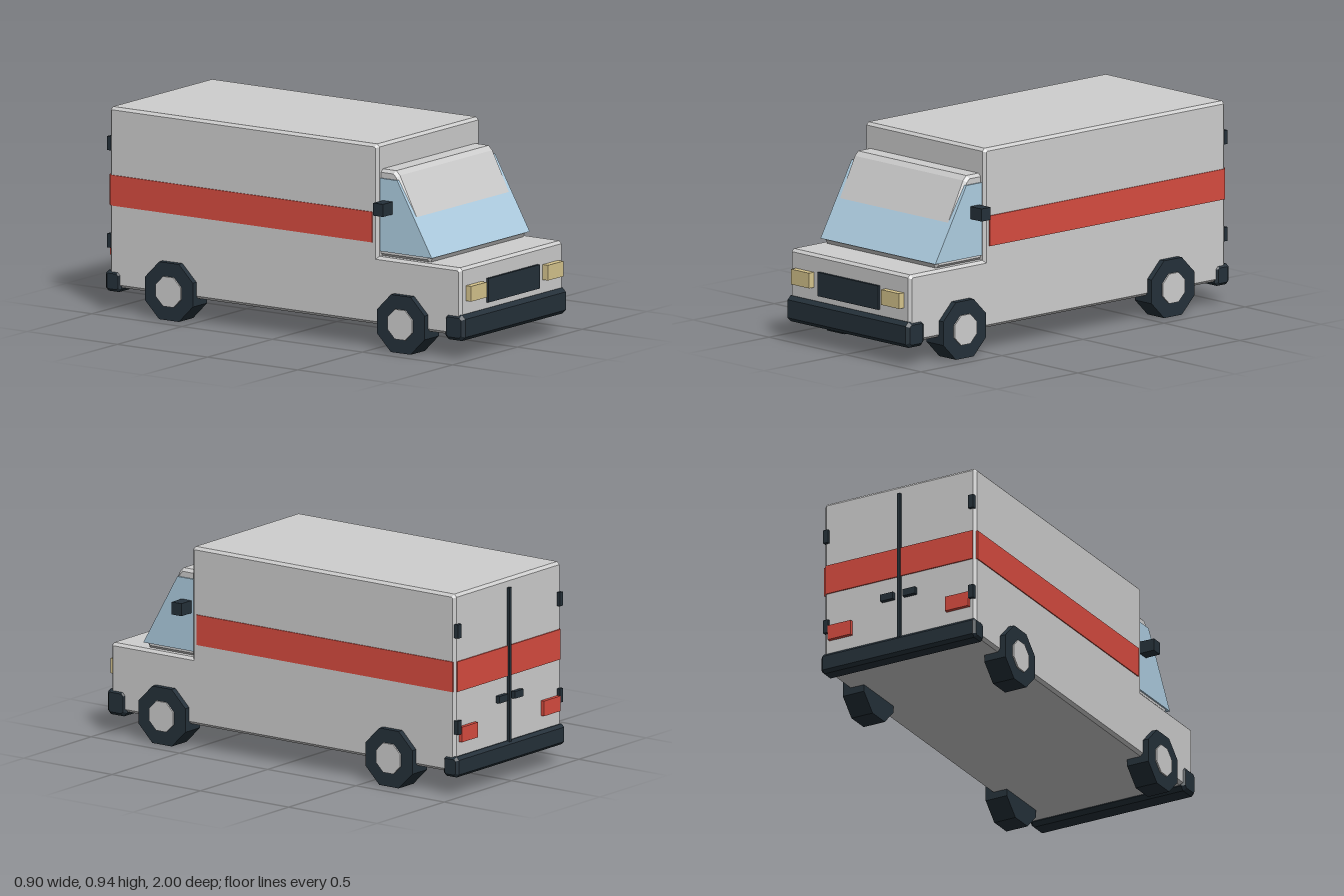
import * as THREE from 'three';

const mat = (name, color) => {
  const m = new THREE.MeshStandardMaterial({ color });
  m.name = name;
  return m;
};

export function createModel() {
  const van = new THREE.Group();
  van.name = 'deliveryVan';
  const paint = mat('greyPaint', 0xcfcfcf);
  const glass = mat('blueGlass', 0xb0d0e4);
  const red = mat('red', 0xd94c40);
  const dark = mat('darkTrim', 0x25313a);
  const lamp = mat('lampYellow', 0xd8c68e);

  const add = (name, geometry, material) => {
    const m = new THREE.Mesh(geometry, material);
    m.name = name;
    van.add(m);
    return m;
  };

  // Side profile of [z, y] points, extruded across x with chamfered ends
  const prism = (name, points, halfWidth, bevel, material) => {
    const shape = new THREE.Shape(points.map(([z, y]) => new THREE.Vector2(z, y)));
    const depth = 2 * (halfWidth - bevel);
    const g = new THREE.ExtrudeGeometry(shape, {
      depth, bevelEnabled: bevel > 0, bevelSize: bevel, bevelThickness: bevel,
      bevelOffset: -bevel, bevelSegments: 1,
    });
    g.translate(0, 0, -depth / 2).rotateY(-Math.PI / 2);
    return add(name, g, material);
  };

  // Box given by its limits on each axis
  const box = (name, [x0, x1], [y0, y1], [z0, z1], material) => {
    const m = add(name, new THREE.BoxGeometry(x1 - x0, y1 - y0, z1 - z0), material);
    m.position.set((x0 + x1) / 2, (y0 + y1) / 2, (z0 + z1) / 2);
    return m;
  };

  // Rectangle profile with cut corners
  const cutRect = (z0, z1, y0, y1, c) => [
    [z0 + c, y0], [z1 - c, y0], [z1, y0 + c], [z1, y1 - c],
    [z1 - c, y1], [z0 + c, y1], [z0, y1 - c], [z0, y0 + c],
  ];

  // Cargo box and bonnet in one stepped body
  const c = 0.013;
  prism('body', [
    [-0.98 + c, 0.11], [0.97 - c, 0.11], [0.97, 0.11 + c], [0.97, 0.422 - c],
    [0.97 - c, 0.422], [0.51, 0.422], [0.51, 0.937 - c], [0.51 - c, 0.937],
    [-0.98 + c, 0.937], [-0.98, 0.937 - c], [-0.98, 0.11 + c],
  ], 0.395, c, paint);

  // Cab roof, with the glass block set around its lower part
  prism('cabRoof', [
    [0.49, 0.42], [0.775, 0.42], [0.787, 0.443], [0.605, 0.8], [0.585, 0.82], [0.49, 0.82],
  ], 0.37, 0.014, paint);
  prism('cabGlass', [
    [0.5, 0.445], [0.797, 0.445], [0.605, 0.78], [0.5, 0.78],
  ], 0.378, 0, glass);

  // Bumpers
  prism('frontBumper', cutRect(0.88, 0.99, 0.088, 0.207, 0.018), 0.402, 0.014, dark);
  prism('rearBumper', cutRect(-1, -0.915, 0.09, 0.185, 0.014), 0.402, 0.012, dark);

  // Grille, rear stripe and the gap between the rear doors
  box('grille', [-0.198, 0.198], [0.235, 0.345], [0.96, 0.983], dark);
  box('rearStripe', [-0.382, 0.382], [0.485, 0.625], [-0.986, -0.978], red);
  box('doorGap', [-0.008, 0.008], [0.18, 0.895], [-0.993, -0.975], dark);

  for (const s of [1, -1]) {
    const side = s > 0 ? 'left' : 'right';
    const span = (a, b) => (s > 0 ? [a, b] : [-b, -a]);

    box(side + 'Stripe', span(0.392, 0.4), [0.485, 0.625], [-0.97, 0.48], red);
    box(side + 'Mirror', span(0.375, 0.452), [0.622, 0.68], [0.525, 0.58], dark);
    box(side + 'Headlight', span(0.236, 0.356), [0.267, 0.337], [0.96, 1], lamp);
    box(side + 'TailLight', span(0.245, 0.365), [0.25, 0.32], [-0.998, -0.975], red);
    box(side + 'DoorHandle', span(0.025, 0.09), [0.375, 0.408], [-1, -0.975], dark);
    for (const y of [0.32, 0.767]) {
      box(side + 'Hinge', span(0.365, 0.39), [y - 0.032, y + 0.032], [-0.995, -0.972], dark);
    }

    // Eight-sided wheels with flat bottoms
    for (const [end, z] of [['Front', 0.657], ['Rear', -0.628]]) {
      const part = (name, r, x0, x1, material) => {
        const g = new THREE.CylinderGeometry(r, r, x1 - x0, 8).toNonIndexed();
        g.rotateY(Math.PI / 8).rotateZ(Math.PI / 2);
        g.computeVertexNormals();
        add(side + end + name, g, material).position.set(s * (x0 + x1) / 2, 0.132, z);
      };
      part('Tyre', 0.143, 0.313, 0.423, dark);
      part('Hub', 0.074, 0.35, 0.43, paint);
    }
  }
  return van;
}
